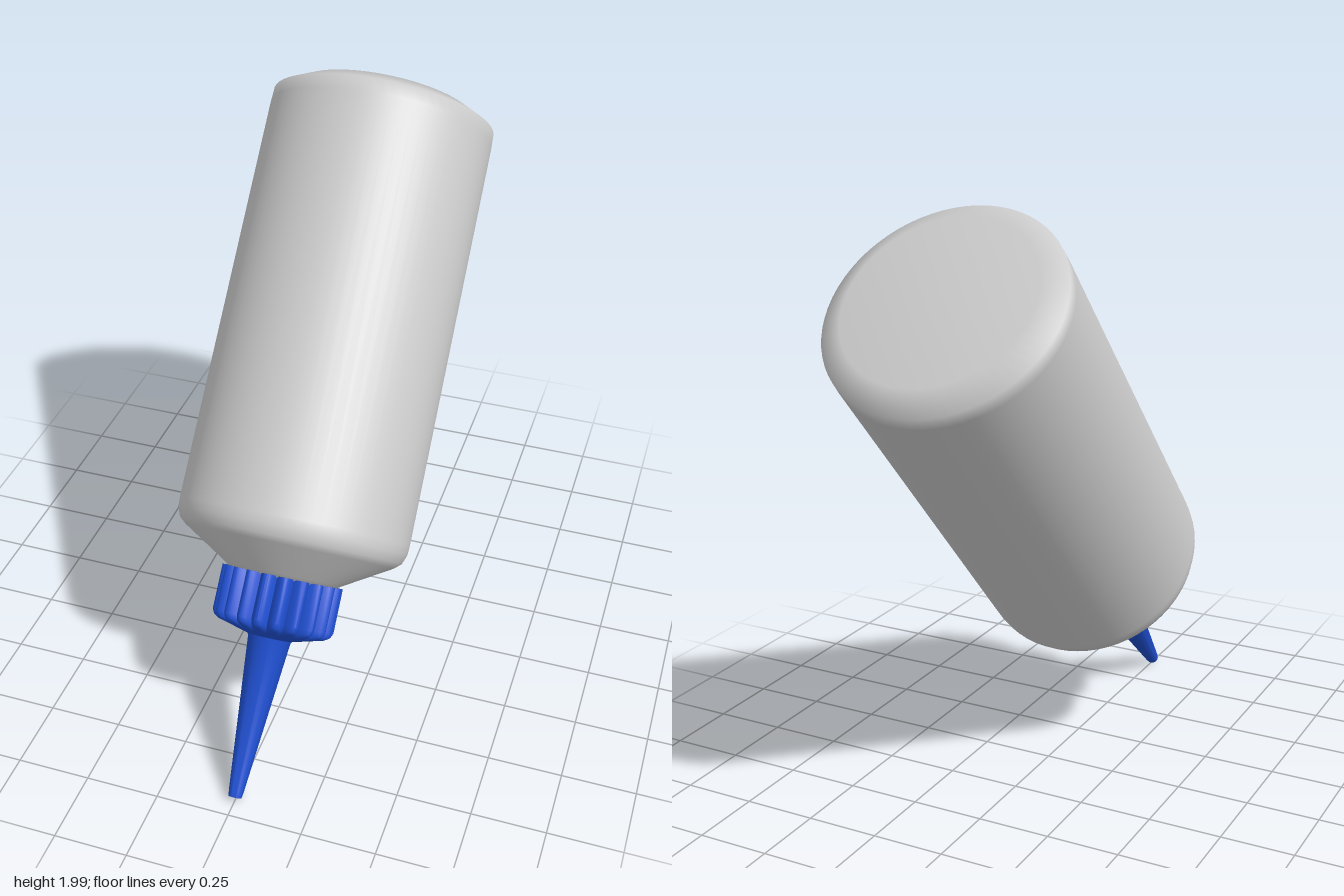
import * as THREE from 'three';
import { toCreasedNormals } from 'three/addons/utils/BufferGeometryUtils.js';

const grey = new THREE.MeshStandardMaterial({ color: 0xcccccc });
const blue = new THREE.MeshStandardMaterial({ color: 0x1f4fd0 });

// Profile points are [radius, distance along the axis from the nozzle tip].
function lathe(points, segments) {
  return new THREE.LatheGeometry(points.map(([r, s]) => new THREE.Vector2(r, s)), segments);
}

function addPart(parent, name, geometry, material) {
  const mesh = new THREE.Mesh(geometry, material);
  mesh.name = name;
  parent.add(mesh);
}

// Cap wall with rounded ribs; the grooves fade out toward the cone on top.
function ribbedCap() {
  const ribs = 20, depth = 0.03;
  const geometry = lathe([
    [0.06, 0.525], [0.075, 0.53], [0.13, 0.545], [0.18, 0.558], [0.197, 0.568],
    [0.205, 0.585], [0.205, 0.735], [0.15, 0.735], [0, 0.735],
  ], ribs * 8);
  const p = geometry.attributes.position;
  for (let i = 0; i < p.count; i++) {
    const x = p.getX(i), z = p.getZ(i), r = Math.hypot(x, z);
    const groove = 1 - Math.abs(Math.cos(Math.atan2(z, x) * ribs / 2));
    const fade = THREE.MathUtils.smoothstep(r, 0.13, 0.2);
    const k = r > 0 ? 1 - depth * groove * fade / r : 1;
    p.setX(i, x * k);
    p.setZ(i, z * k);
  }
  return toCreasedNormals(geometry, 0.7);
}

export function createModel() {
  const model = new THREE.Group();
  model.name = 'squeezeBottle';

  // The whole bottle is tilted, nozzle down and forward.
  const bottle = new THREE.Group();
  bottle.name = 'tiltedBottle';
  bottle.position.set(0, 0.015, 0.934);
  bottle.rotation.x = -0.75;
  model.add(bottle);

  // Body: neck, sloping shoulder, straight wall, bevelled flat base
  addPart(bottle, 'body', lathe([
    [0, 0.72], [0.17, 0.725], [0.2, 0.745], [0.355, 0.838], [0.378, 0.858],
    [0.39, 0.89], [0.392, 0.92], [0.386, 2.3], [0.384, 2.348], [0.308, 2.39], [0, 2.39],
  ], 64), grey);

  addPart(bottle, 'ribbedCap', ribbedCap(), blue);

  // Tapered nozzle with a small bore at the tip
  addPart(bottle, 'nozzle', toCreasedNormals(lathe([
    [0, 0.03], [0.013, 0.03], [0.013, 0], [0.022, 0], [0.025, 0.02], [0.072, 0.525], [0.09, 0.545],
  ], 40), 0.7), blue);

  return model;
}
